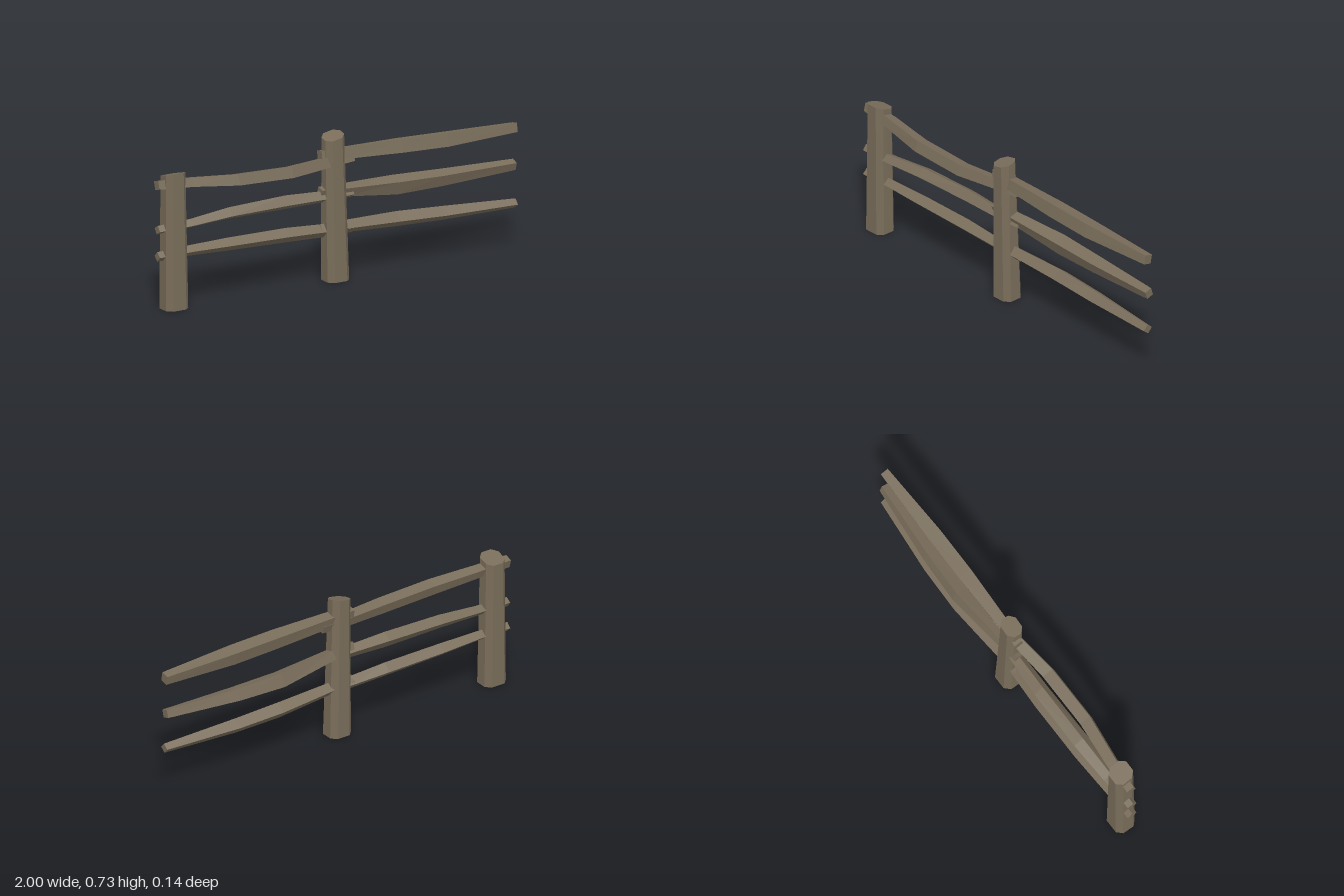
import * as THREE from 'three';

// Skin a list of equal-sized rings of [x, y, z]; rings run clockwise seen from the last ring's end
function loft(rings, capStart, capEnd) {
  const pos = [];
  const tri = (a, b, c) => pos.push(...a, ...b, ...c);
  const n = rings[0].length;
  for (let i = 0; i < rings.length - 1; i++) {
    for (let j = 0; j < n; j++) {
      const k = (j + 1) % n;
      const a = rings[i][j], b = rings[i][k], c = rings[i + 1][k], d = rings[i + 1][j];
      tri(a, d, c);
      tri(a, c, b);
    }
  }
  const first = rings[0], last = rings[rings.length - 1];
  for (let j = 1; j < n - 1; j++) {
    if (capStart) tri(first[0], first[j], first[j + 1]);
    if (capEnd) tri(last[0], last[j + 1], last[j]);
  }
  const geo = new THREE.BufferGeometry();
  geo.setAttribute('position', new THREE.Float32BufferAttribute(pos, 3));
  geo.computeVertexNormals();
  return geo;
}

// Square with cut corners; height is a function of x and z
function postRing(x0, x1, z0, z1, height) {
  const c = 0.026;
  return [
    [x1, z0 + c], [x1, z1 - c], [x1 - c, z1], [x0 + c, z1],
    [x0, z1 - c], [x0, z0 + c], [x0 + c, z0], [x1 - c, z0],
  ].map(([x, z]) => [x, height(x, z), z]);
}

// Twisted four-sided section filling the box y0..y1, z0..z1; f is the height of its front corner
function railRing([x, y0, y1, z0, z1], f) {
  const h = y1 - y0, w = z1 - z0;
  return [
    [x, y0 + f * h, z1], [x, y1, z1 - f * w],
    [x, y1 - f * h, z0], [x, y0, z0 + f * w],
  ];
}

export function createModel() {
  const group = new THREE.Group();
  const wood = new THREE.MeshStandardMaterial({ color: 0x796d5a });
  wood.name = 'weatheredWood';
  wood.flatShading = true;
  wood.side = THREE.DoubleSide;

  const add = (name, geo) => {
    const mesh = new THREE.Mesh(geo, wood);
    mesh.name = name;
    group.add(mesh);
  };

  // Posts, hollow underneath, with slanted tops
  add('endPost', loft([
    postRing(-0.97, -0.845, -0.056, 0.056, () => 0),
    postRing(-0.965, -0.857, -0.053, 0.05, (x, z) => 0.666 + 0.28 * z),
  ], false, true));
  add('middlePost', loft([
    postRing(-0.065, 0.056, -0.055, 0.057, () => 0),
    postRing(-0.072, 0.032, -0.04, 0.05, (x, z) => 0.719 + 0.2 * (x + 0.02) - 0.2 * z),
  ], false, true));

  // Rails: front-corner height, then stations of x, y range, z range
  const rails = {
    endTopRail: [0.22, [
      [-1, 0.595, 0.648, -0.03, 0.02], [-0.82, 0.585, 0.64, -0.025, 0.04],
      [-0.58, 0.56, 0.627, 0.0, 0.073], [-0.28, 0.55, 0.617, 0.0, 0.073],
      [-0.07, 0.56, 0.62, -0.02, 0.045], [0.09, 0.57, 0.62, -0.025, 0.03]]],
    endMiddleRail: [0.4, [
      [-1, 0.378, 0.423, -0.025, 0.025], [-0.82, 0.383, 0.43, -0.035, 0.035],
      [-0.6, 0.39, 0.452, -0.048, 0.035], [-0.28, 0.387, 0.46, -0.048, 0.03],
      [-0.07, 0.39, 0.45, -0.035, 0.03], [0.09, 0.395, 0.44, -0.025, 0.025]]],
    endLowRail: [0.5, [
      [-1, 0.243, 0.291, -0.025, 0.025], [-0.82, 0.245, 0.297, -0.035, 0.03],
      [-0.6, 0.235, 0.3, -0.045, 0.035], [-0.28, 0.225, 0.297, -0.045, 0.035],
      [-0.07, 0.218, 0.284, -0.035, 0.03], [0.09, 0.22, 0.27, -0.025, 0.025]]],
    openTopRail: [0.17, [
      [-0.09, 0.6, 0.655, -0.025, 0.025], [0.05, 0.588, 0.654, -0.028, 0.035],
      [0.35, 0.573, 0.65, -0.032, 0.05], [0.6, 0.563, 0.642, -0.03, 0.052],
      [1, 0.573, 0.627, -0.018, 0.032]]],
    openMiddleRail: [0.75, [
      [-0.09, 0.425, 0.47, -0.025, 0.025], [0.05, 0.405, 0.463, -0.04, 0.025],
      [0.35, 0.364, 0.452, -0.069, 0.015], [0.6, 0.368, 0.443, -0.06, 0.02],
      [1, 0.388, 0.438, -0.025, 0.024]]],
    openLowRail: [0.45, [
      [-0.09, 0.235, 0.287, -0.025, 0.025], [0.05, 0.222, 0.286, -0.04, 0.03],
      [0.35, 0.202, 0.28, -0.062, 0.025], [0.6, 0.195, 0.267, -0.055, 0.03],
      [1, 0.2, 0.247, -0.018, 0.034]]],
  };
  for (const [name, [f, stations]] of Object.entries(rails)) {
    add(name, loft(stations.map((s) => railRing(s, f)), true, true));
  }
  return group;
}
